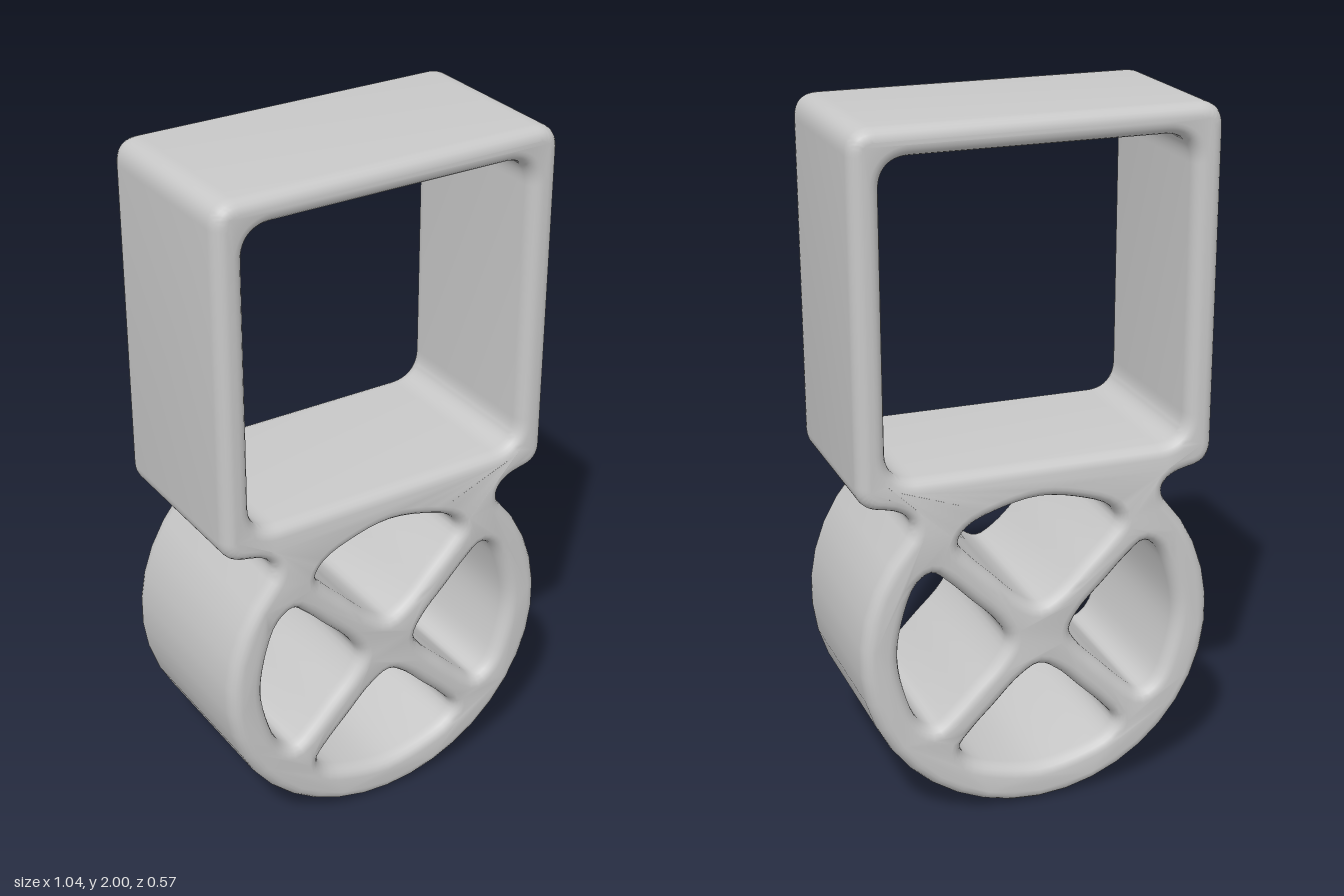
import * as THREE from 'three';
import { toCreasedNormals } from 'three/addons/utils/BufferGeometryUtils.js';

const R = 0.522; // wheel radius, also its centre height

// Silhouette: square frame sitting on a round wheel, joined by small fillets
function outline() {
  const s = new THREE.Shape();
  const a = 0.75, nx = R * Math.cos(a), ny = R + R * Math.sin(a);
  const w = 0.52, c = 0.07;
  s.moveTo(-nx, ny);
  s.absarc(0, R, R, Math.PI - a, 2 * Math.PI + a, false);
  s.quadraticCurveTo(0.345, 0.935, 0.42, 0.96);
  s.lineTo(w - c, 0.967);
  s.quadraticCurveTo(w, 0.975, w, 0.97 + c);
  s.lineTo(w, 2 - c);
  s.quadraticCurveTo(w, 2, w - c, 2);
  s.lineTo(c - w, 2);
  s.quadraticCurveTo(-w, 2, -w, 2 - c);
  s.lineTo(-w, 0.97 + c);
  s.quadraticCurveTo(-w, 0.975, c - w, 0.967);
  s.lineTo(-0.42, 0.96);
  s.quadraticCurveTo(-0.345, 0.935, -nx, ny);
  return s;
}

// Rounded square opening of the frame
function frameOpening() {
  const h = new THREE.Path(), w = 0.436, b = 1.045, t = 1.92, c = 0.085;
  h.moveTo(-w, b + c);
  h.lineTo(-w, t - c);
  h.quadraticCurveTo(-w, t, c - w, t);
  h.lineTo(w - c, t);
  h.quadraticCurveTo(w, t, w, t - c);
  h.lineTo(w, b + c);
  h.quadraticCurveTo(w, b, w - c, b);
  h.lineTo(c - w, b);
  h.quadraticCurveTo(-w, b, -w, b + c);
  return h;
}

// Opening between two spokes, turned about the hub
function spokeOpening(angle) {
  const pts = [[0.095, 0], [0.125, 0.058], [0.2, 0.135], [0.265, 0.2], [0.315, 0.236],
    [0.358, 0.21], [0.395, 0.12]];
  const all = [...pts, [0.415, 0], ...pts.slice(1).reverse().map(([x, y]) => [x, -y])];
  const centre = new THREE.Vector2(0, 0.528);
  const curve = new THREE.CatmullRomCurve3(
    all.map(([x, y]) => {
      const p = new THREE.Vector2(x, y).rotateAround(new THREE.Vector2(), angle).add(centre);
      return new THREE.Vector3(p.x, p.y, 0);
    }), true);
  return new THREE.Path(curve.getPoints(48).slice(0, -1).map(p => new THREE.Vector2(p.x, p.y)));
}

export function createModel() {
  const group = new THREE.Group();
  const grey = new THREE.MeshStandardMaterial({ color: 0xc8c8c8 });
  grey.name = 'light grey';

  const shape = outline();
  shape.holes.push(frameOpening());
  for (let i = 0; i < 4; i++) shape.holes.push(spokeOpening(i * Math.PI / 2));

  // Extrude with rounded edges kept inside the silhouette
  const half = 0.275, bevel = 0.042;
  const geo = new THREE.ExtrudeGeometry(shape, {
    depth: 2 * (half - bevel), bevelEnabled: true, bevelThickness: bevel,
    bevelSize: 0.034, bevelOffset: -0.034, bevelSegments: 5, curveSegments: 14,
  });
  geo.translate(0, 0, bevel - half);

  // The wheel is slightly deeper than the frame
  const pos = geo.attributes.position;
  for (let i = 0; i < pos.count; i++) {
    const k = 1 - THREE.MathUtils.smoothstep(pos.getY(i), 0.9, 1.02);
    pos.setZ(i, pos.getZ(i) * (1 + 0.035 * k));
  }

  const body = new THREE.Mesh(toCreasedNormals(geo, 0.7), grey);
  body.name = 'frameAndSpokedWheel';
  group.add(body);
  return group;
}
